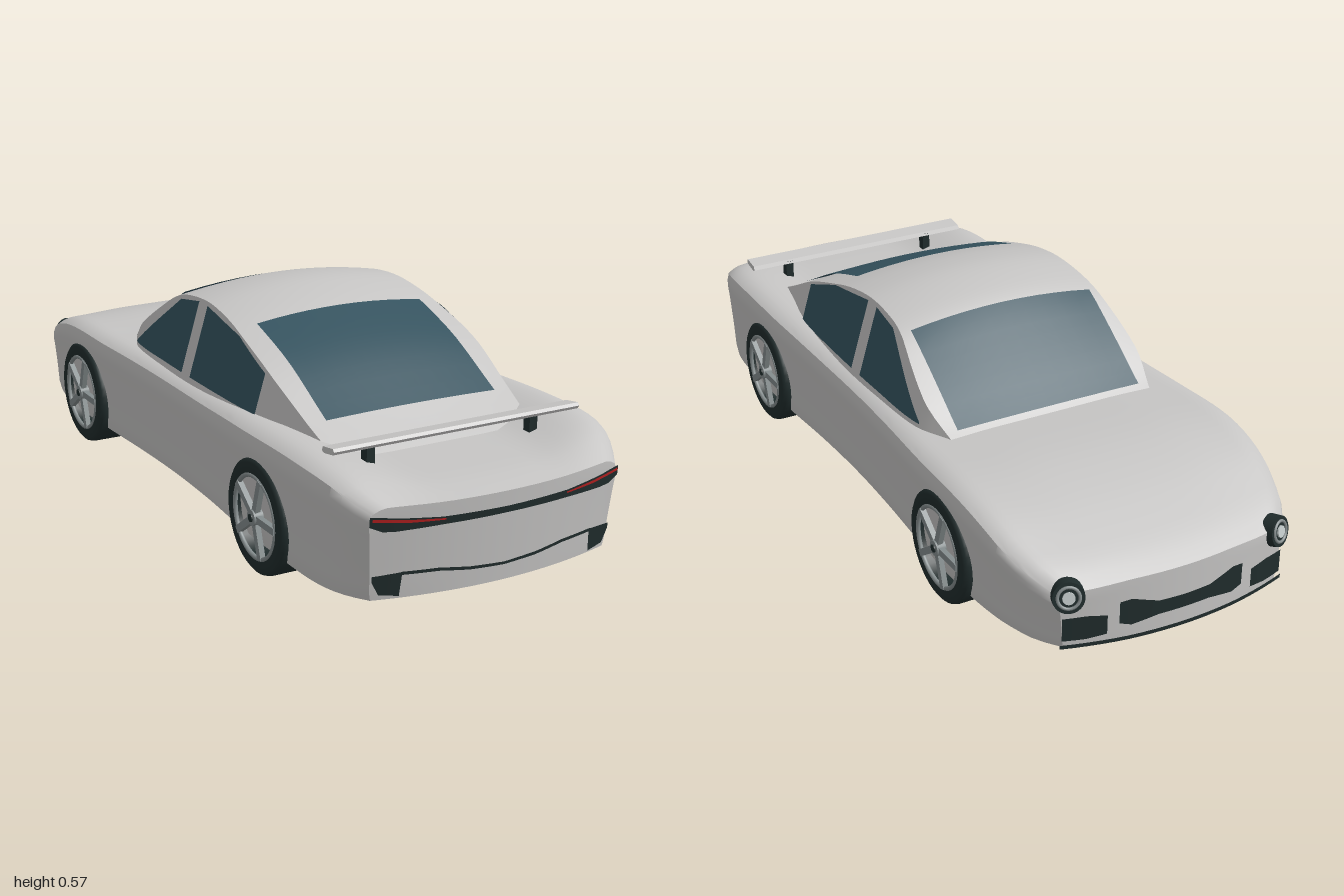
import * as THREE from 'three';
import { toCreasedNormals } from 'three/addons/utils/BufferGeometryUtils.js';

const material = (name, color, side = THREE.FrontSide) => {
  const m = new THREE.MeshStandardMaterial({ color, side });
  m.name = name;
  return m;
};

// Smooth curve through [position, value] pairs
function curve(pts) {
  const slope = pts.map((p, i) => {
    const a = pts[Math.max(i - 1, 0)], b = pts[Math.min(i + 1, pts.length - 1)];
    return (b[1] - a[1]) / (b[0] - a[0]);
  });
  return (t) => {
    t = THREE.MathUtils.clamp(t, pts[0][0], pts[pts.length - 1][0]);
    let i = 0;
    while (i < pts.length - 2 && t > pts[i + 1][0]) i++;
    const [x0, y0] = pts[i], [x1, y1] = pts[i + 1], h = x1 - x0, s = (t - x0) / h;
    const s2 = s * s, s3 = s2 * s;
    return y0 * (2 * s3 - 3 * s2 + 1) + y1 * (3 * s2 - 2 * s3)
      + h * (slope[i] * (s3 - 2 * s2 + s) + slope[i + 1] * (s3 - s2));
  };
}

// Body outline: half width, fender height and centre height along z
const bodyWidth = curve([[-1, 0.31], [-0.95, 0.347], [-0.9, 0.367], [-0.8, 0.389], [-0.62, 0.403], [-0.45, 0.4],
  [-0.2, 0.386], [0, 0.381], [0.2, 0.386], [0.42, 0.4], [0.6, 0.404], [0.78, 0.401], [0.88, 0.386], [0.94, 0.366], [0.99, 0.338]]);
const fenderTop = curve([[-1, 0.218], [-0.95, 0.246], [-0.9, 0.266], [-0.75, 0.316], [-0.6, 0.34], [-0.4, 0.339],
  [0, 0.335], [0.2, 0.339], [0.4, 0.351], [0.7, 0.358], [0.87, 0.343], [0.99, 0.298]]);
const centreTop = curve([[-1, 0.226], [-0.95, 0.252], [-0.9, 0.272], [-0.75, 0.32], [-0.6, 0.344], [-0.4, 0.342],
  [0, 0.33], [0.4, 0.32], [0.7, 0.315], [0.9, 0.31], [0.99, 0.296]]);
const sideBulge = curve([[0, 0.955], [0.08, 0.965], [0.3, 0.972], [0.7, 0.99], [0.9, 1], [1, 0.985]]);
const bodyTop = (z, u) => {
  const a = Math.abs(u), edge = Math.max(0, (a - 0.88) / 0.12);
  return THREE.MathUtils.lerp(centreTop(z), fenderTop(z), THREE.MathUtils.smoothstep(a, 0.4, 0.88)) - 0.015 * edge * edge;
};

// Cabin outline
const roof = curve([[-0.47, 0.3], [-0.39, 0.35], [-0.3, 0.42], [-0.2, 0.496], [-0.14, 0.538], [-0.08, 0.56], [0.04, 0.572],
  [0.15, 0.558], [0.24, 0.533], [0.4, 0.473], [0.58, 0.374], [0.72, 0.302]]);
const cabinBase = curve([[-0.47, 0.27], [-0.4, 0.295], [-0.3, 0.336], [-0.1, 0.346], [0.2, 0.347], [0.4, 0.337], [0.55, 0.305], [0.72, 0.265]]);
const cabinSide = (z, y) => cabinBase(z) - 0.3 * (y - 0.33);
const roofY = (z, u) => roof(z) - 0.03 * u * u * Math.max(0, (roof(z) - 0.33) / 0.24);

// Move the vertices of a box by a rule of (u: -1..1, v: 0..1, t: 0..1)
function shapedBox(nx, ny, nz, rule) {
  const g = new THREE.BoxGeometry(2, 1, 1, nx, ny, nz), p = g.attributes.position;
  for (let i = 0; i < p.count; i++) {
    p.setXYZ(i, ...rule(Math.sin(p.getX(i) * Math.PI / 2), p.getY(i) + 0.5, p.getZ(i) + 0.5));
  }
  g.deleteAttribute('uv');
  return toCreasedNormals(g, 0.6);
}

// Thin skin over a surface; columns are [a, low, high], place(a, b) gives a point
function skin(columns, place, mat, name, flip = false) {
  const pos = [], index = [], rows = 8, sub = 5;
  let n = 0;
  columns.slice(0, -1).forEach((c, i) => {
    const d = columns[i + 1], last = i === columns.length - 2 ? 1 : 0;
    for (let k = 0; k < sub + last; k++, n++) {
      const [a, lo, hi] = c.map((v, j) => THREE.MathUtils.lerp(v, d[j], k / sub));
      for (let r = 0; r <= rows; r++) pos.push(...place(a, THREE.MathUtils.lerp(lo, hi, r / rows)));
    }
  });
  for (let i = 0; i < n - 1; i++) for (let r = 0; r < rows; r++) {
    const a = i * (rows + 1) + r, b = a + rows + 1;
    if (flip) index.push(a, a + 1, b, b, a + 1, b + 1);
    else index.push(a, b, a + 1, b, b + 1, a + 1);
  }
  const g = new THREE.BufferGeometry();
  g.setAttribute('position', new THREE.Float32BufferAttribute(pos, 3));
  g.setIndex(index);
  g.computeVertexNormals();
  const m = new THREE.Mesh(g, mat);
  m.name = name;
  return m;
}

export function createModel() {
  const car = new THREE.Group();
  car.name = 'sportsCar';
  const paint = material('silverPaint', 0xc6c5c4);
  const glass = material('tintedGlass', 0x35535f, THREE.DoubleSide);
  const black = material('blackTrim', 0x202c2c, THREE.DoubleSide);
  const metal = material('wheelMetal', 0x858d8e);
  const red = material('tailLightRed', 0xb32020, THREE.DoubleSide);
  const lens = material('lampLens', 0xc4cccc);
  const add = (parent, name, geometry, mat, x = 0, y = 0, z = 0) => {
    const m = new THREE.Mesh(geometry, mat);
    m.name = name;
    m.position.set(x, y, z);
    parent.add(m);
    return m;
  };

  // Main shell with bowed nose and tail
  add(car, 'body', shapedBox(28, 12, 56, (u, v, t) => {
    const z = -1 + 1.99 * t;
    const end = THREE.MathUtils.smoothstep(Math.abs(z), 0.6, 1);
    const bow = -Math.sign(z) * end * 0.046 * u * u;
    const tuck = z > 0.85 ? 0.02 * (1 - v) * (z - 0.85) / 0.14 : 0;
    return [u * bodyWidth(z) * sideBulge(v), 0.07 + v * (bodyTop(z, u) - 0.07), z + bow - tuck];
  }), paint);

  // Cabin
  add(car, 'cabin', shapedBox(20, 6, 48, (u, v, t) => {
    const z = -0.47 + 1.19 * t, y = 0.24 + v * (roofY(z, u) - 0.24);
    return [u * cabinSide(z, 0.24 + v * (roofY(z, 1) - 0.24)), y, z];
  }), paint);

  // Glass
  const onRoof = (x, z) => [x, roofY(z, x / cabinSide(z, roofY(z, 1))) + 0.005, z];
  car.add(skin([[-0.265, -0.39, -0.14], [0, -0.39, -0.14], [0.265, -0.39, -0.14]], onRoof, glass, 'windscreen', true));
  car.add(skin([[-0.24, 0.58, 0.23], [0, 0.58, 0.23], [0.24, 0.58, 0.23]], onRoof, glass, 'rearWindow'));
  for (const s of [1, -1]) {
    const onSide = (z, y) => [s * (cabinSide(z, y) + 0.004), y, z];
    car.add(skin([[-0.31, 0.35, 0.354], [-0.2, 0.35, 0.438], [-0.097, 0.35, 0.517], [0.005, 0.35, 0.534]],
      onSide, glass, 'frontSideWindow', s > 0));
    car.add(skin([[0.054, 0.35, 0.534], [0.247, 0.35, 0.504], [0.397, 0.35, 0.45]], onSide, glass, 'rearSideWindow', s > 0));
  }

  // Nose and tail trim, mirrored
  const nose = (lift) => (s) => (x, y) => [s * x, y, -1 + 0.046 * (x / 0.305) ** 2 - lift];
  const tail = (lift) => (s) => (x, y) => [s * x, y, 0.99 - 0.046 * (x / 0.338) ** 2 - 0.02 * (1 - (y - 0.07) / 0.226) + lift];
  for (const s of [1, -1]) {
    const trim = (name, columns, surface, mat, rear) => car.add(skin(columns, surface(s), mat, name, rear !== (s > 0)));
    trim('grille', [[0, 0.115, 0.15], [0.07, 0.115, 0.152], [0.14, 0.105, 0.175], [0.17, 0.115, 0.172]], nose(0.004), black, false);
    trim('sideIntake', [[0.2, 0.095, 0.145], [0.25, 0.09, 0.152], [0.305, 0.092, 0.152]], nose(0.006), black, false);
    trim('frontLip', [[0, 0.069, 0.079], [0.15, 0.069, 0.079], [0.31, 0.072, 0.082]], nose(0.008), black, false);
    trim('tailLightBar', [[0, 0.244, 0.26], [0.17, 0.243, 0.262], [0.28, 0.24, 0.272], [0.31, 0.242, 0.277], [0.34, 0.256, 0.28]],
      tail(0.005), black, true);
    trim('tailLight', [[0.165, 0.255, 0.259], [0.25, 0.259, 0.266], [0.335, 0.269, 0.276]], tail(0.008), red, true);
    trim('rearVent', [[0, 0.111, 0.118], [0.09, 0.116, 0.124], [0.17, 0.127, 0.135], [0.258, 0.13, 0.138], [0.262, 0.078, 0.137],
      [0.31, 0.086, 0.134], [0.327, 0.12, 0.133]], tail(0.004), black, true);

    // Headlight: dark housing, metal ring and lens
    const lamp = new THREE.Group();
    lamp.name = 'headlight';
    lamp.position.set(s * 0.288, 0.207, -0.954);
    lamp.rotation.set(0.2, Math.PI - s * 0.4, 0, 'YXZ');
    lamp.rotation.x = -0.2;
    add(lamp, 'lampHousing', new THREE.CylinderGeometry(0.038, 0.04, 0.03, 24).rotateX(Math.PI / 2), black);
    add(lamp, 'lampRing', new THREE.TorusGeometry(0.026, 0.004, 8, 24), metal, 0, 0, 0.015);
    add(lamp, 'lampLens', new THREE.CylinderGeometry(0.015, 0.015, 0.008, 20).rotateX(Math.PI / 2), lens, 0, 0, 0.015);
    car.add(lamp);

    // Spoiler strut
    add(car, 'spoilerStrut', new THREE.BoxGeometry(0.022, 0.07, 0.025), black, s * 0.227, 0.34, 0.75);
  }

  // Spoiler blade
  const blade = new THREE.Shape([[0.735, 0.369], [0.745, 0.365], [0.785, 0.372], [0.79, 0.38], [0.785, 0.387], [0.74, 0.38]]
    .map(([z, y]) => new THREE.Vector2(-z, y)));
  add(car, 'spoilerBlade', new THREE.ExtrudeGeometry(blade, { depth: 0.68, bevelEnabled: false })
    .translate(0, 0, -0.34).rotateY(Math.PI / 2), paint);

  // Wheels: tyre ring, rim and five spokes, axis along x
  const tyreProfile = [[0.106, -0.058], [0.132, -0.058], [0.142, -0.053], [0.145, -0.04], [0.145, 0.042], [0.142, 0.053],
    [0.134, 0.059], [0.108, 0.059], [0.106, 0.052], [0.106, -0.058]].map(([r, y]) => new THREE.Vector2(r, y));
  for (const s of [1, -1]) for (const z of [0.53, -0.547]) {
    const wheel = new THREE.Group();
    wheel.name = z < 0 ? 'frontWheel' : 'rearWheel';
    wheel.position.set(s * 0.349, 0.145, z);
    wheel.rotation.z = -s * Math.PI / 2;
    add(wheel, 'tyre', new THREE.LatheGeometry(tyreProfile, 40), black);
    add(wheel, 'rim', new THREE.TorusGeometry(0.103, 0.006, 8, 40).rotateX(Math.PI / 2), metal, 0, 0.056, 0);
    add(wheel, 'hub', new THREE.CylinderGeometry(0.02, 0.024, 0.026, 20), metal, 0, 0.054, 0);
    add(wheel, 'hubCap', new THREE.CylinderGeometry(0.01, 0.01, 0.006, 16), black, 0, 0.067, 0);
    for (let i = 0; i < 5; i++) {
      const spoke = add(wheel, 'spoke', new THREE.BoxGeometry(0.09, 0.014, 0.018).translate(0.06, 0, 0), metal, 0, 0.056, 0);
      spoke.rotation.y = i * Math.PI * 0.4 + s * Math.PI / 2;
    }
    car.add(wheel);
  }
  return car;
}
